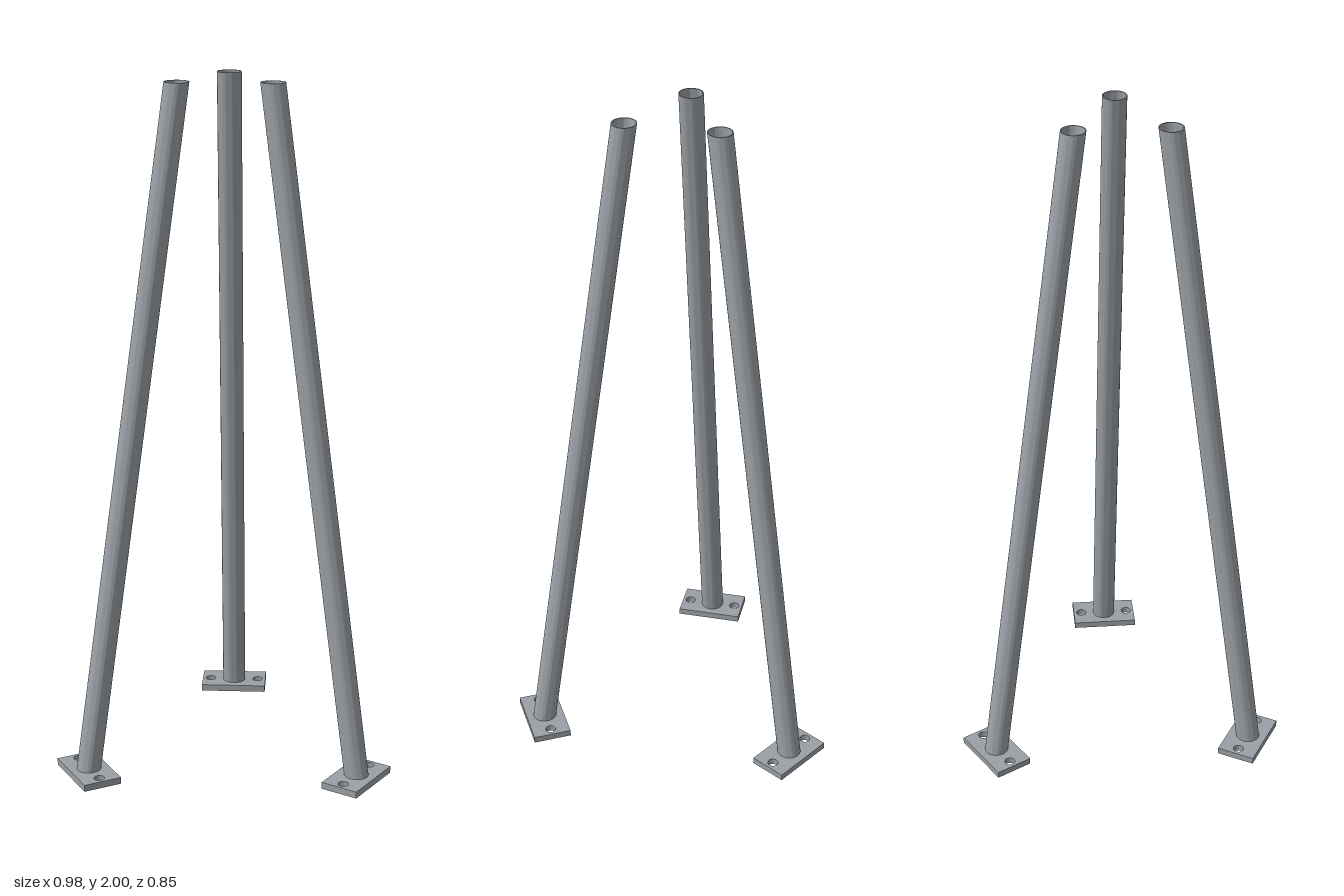
import * as THREE from 'three';
import { toCreasedNormals } from 'three/addons/utils/BufferGeometryUtils.js';

const HEIGHT = 2, PLATE = 0.02;      // overall height, plate thickness
const FOOT_R = 0.45, TOP_R = 0.152;  // leg distance from the axis, bottom and top
const AXIS_Z = 0.082;                // z of the tripod axis
const TUBE_R = 0.035, BORE_R = 0.032;

function circle(path, x, y, r) {
  path.absarc(x, y, r, 0, Math.PI * 2, false);
  return path;
}

// Extrude a flat outline upward from y = 0
function extrudeUp(shape, depth) {
  const geo = new THREE.ExtrudeGeometry(shape, { depth, bevelEnabled: false, curveSegments: 40 });
  geo.rotateX(-Math.PI / 2);
  return toCreasedNormals(geo, Math.PI / 6);
}

// Foot plate with two bolt holes
function plateGeometry() {
  const w = 0.1, d = 0.0575;
  const shape = new THREE.Shape([[-w, -d], [w, -d], [w, d], [-w, d]].map(([x, y]) => new THREE.Vector2(x, y)));
  for (const s of [-1, 1]) shape.holes.push(circle(new THREE.Path(), s * 0.075, 0, 0.0155));
  return extrudeUp(shape, PLATE);
}

// Hollow tube leaning inward, with both ends cut level
function tubeGeometry() {
  const shape = circle(new THREE.Shape(), 0, 0, TUBE_R);
  shape.holes.push(circle(new THREE.Path(), 0, 0, BORE_R));
  const length = HEIGHT - PLATE;
  const lean = (FOOT_R - TOP_R) / length;
  const stretch = Math.sqrt(1 + lean * lean);
  const shear = new THREE.Matrix4().set(
    1, 0, 0, 0,
    0, 1, 0, PLATE,
    0, lean, stretch, 0,
    0, 0, 0, 1);
  return extrudeUp(shape, length).applyMatrix4(shear);
}

export function createModel() {
  const model = new THREE.Group();
  model.name = 'tripodStand';
  const steel = new THREE.MeshStandardMaterial({ color: 0x9aa0a6 });
  steel.name = 'greySteel';

  const plate = plateGeometry(), tube = tubeGeometry();
  ['backLeg', 'leftLeg', 'rightLeg'].forEach((name, i) => {
    const leg = new THREE.Group();
    leg.name = name;
    for (const [part, geo] of [['footPlate', plate], ['tube', tube]]) {
      const mesh = new THREE.Mesh(geo, steel);
      mesh.name = part;
      mesh.position.z = -FOOT_R;
      leg.add(mesh);
    }
    leg.position.z = AXIS_Z;
    leg.rotation.y = -i * Math.PI * 2 / 3;
    model.add(leg);
  });
  return model;
}
